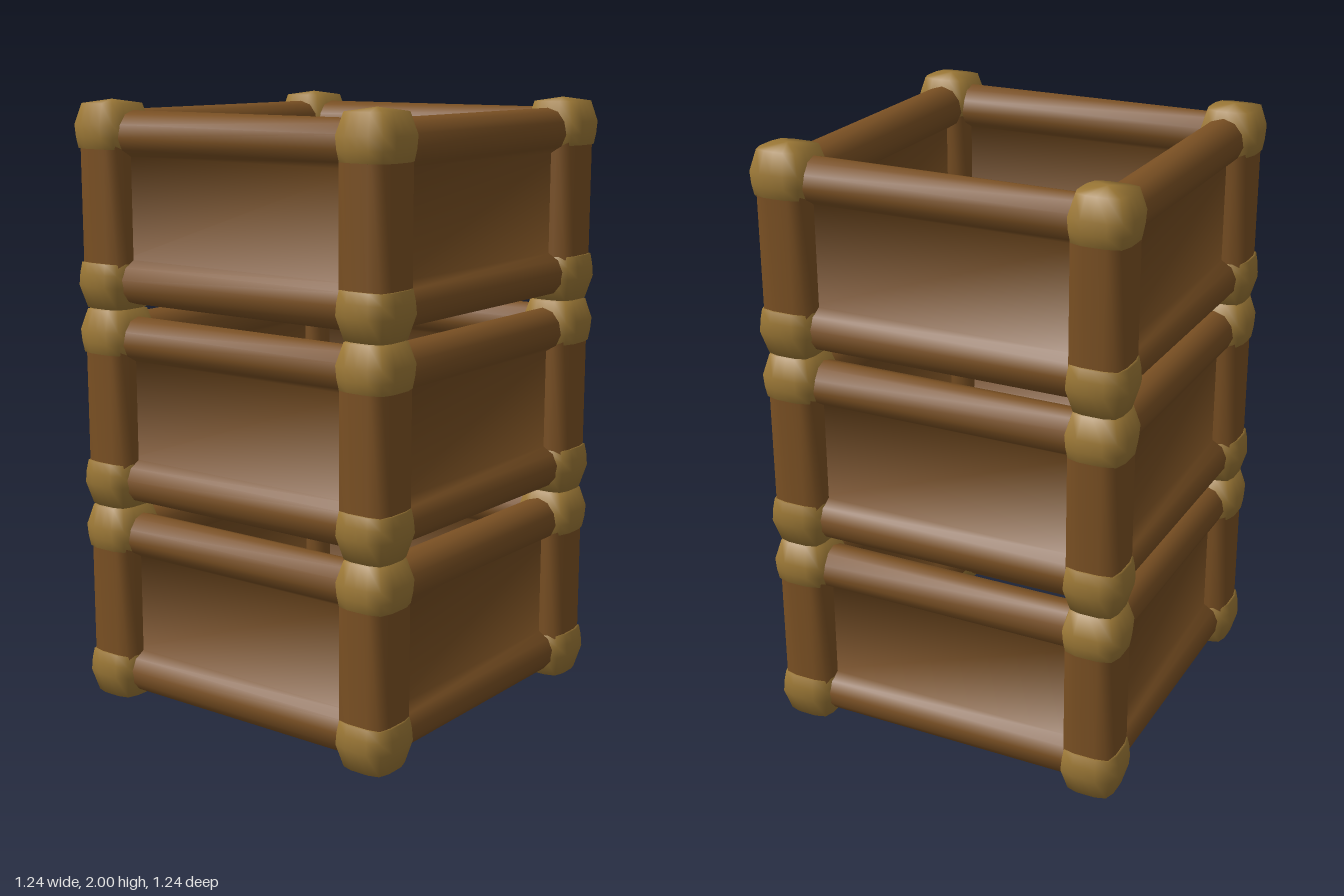
import * as THREE from 'three';
import { mergeVertices, toCreasedNormals } from 'three/addons/utils/BufferGeometryUtils.js';

const wood = new THREE.MeshStandardMaterial({ color: 0x7a5023 });
wood.name = 'brown wood';
const tan = new THREE.MeshStandardMaterial({ color: 0x9c7836 });
tan.name = 'tan corner';

// Turned profile [radius, y] whose round section is pushed out to a rounded square
function squareLathe(profile, power) {
  let geo = new THREE.LatheGeometry(profile.map(p => new THREE.Vector2(p[0], p[1])), 16);
  const pos = geo.attributes.position;
  for (let i = 0; i < pos.count; i++) {
    const x = pos.getX(i), z = pos.getZ(i), r = Math.hypot(x, z);
    if (r < 1e-6) continue;
    const k = Math.pow(Math.pow(Math.abs(x / r), power) + Math.pow(Math.abs(z / r), power), -1 / power);
    pos.setX(i, x * k);
    pos.setZ(i, z * k);
  }
  geo.deleteAttribute('uv');
  geo.deleteAttribute('normal');
  geo = mergeVertices(geo, 1e-4);
  geo.computeVertexNormals();
  return geo;
}

// Side wall section: round top and bottom rails joined by a thin panel
function wallGeometry() {
  const points = [];
  const arc = (y, start) => {
    for (let i = 0; i <= 10; i++) {
      const a = THREE.MathUtils.degToRad(start + i * 33);
      points.push(new THREE.Vector2(0.515 + 0.074 * Math.cos(a), y + 0.074 * Math.sin(a)));
    }
  };
  arc(0.572, -75);
  arc(0.1, 105);
  const geo = new THREE.ExtrudeGeometry(new THREE.Shape(points), { depth: 0.94, bevelEnabled: false });
  geo.translate(0, 0, -0.47);
  return toCreasedNormals(geo, 1.5);
}

export function createModel() {
  const model = new THREE.Group();
  model.name = 'crateStack';

  const wall = wallGeometry();
  const post = squareLathe([[0.086, 0.1], [0.086, 0.58]], 6);
  const lowerCap = squareLathe([[0, 0], [0.078, 0.012], [0.099, 0.085],
    [0.096, 0.125], [0.09, 0.16], [0.08, 0.161]], 4.5);
  const upperCap = squareLathe([[0.08, 0.524], [0.09, 0.525], [0.096, 0.56],
    [0.099, 0.6], [0.079, 0.667], [0, 0.68]], 4.5);
  const floor = new THREE.BoxGeometry(0.83, 0.014, 0.83);

  const add = (parent, geo, mat, name, x = 0, y = 0, z = 0) => {
    const mesh = new THREE.Mesh(geo, mat);
    mesh.name = name;
    mesh.position.set(x, y, z);
    parent.add(mesh);
    return mesh;
  };

  // Three equal crates, the cap domes nesting slightly; the middle floor hangs lower
  [0.036, 0.018, 0.036].forEach((floorY, level) => {
    const crate = new THREE.Group();
    crate.name = 'crate' + (level + 1);
    crate.position.y = level * 0.66;
    model.add(crate);

    add(crate, floor, wood, 'floor', 0, floorY, 0);
    for (let side = 0; side < 4; side++) {
      add(crate, wall, wood, 'wall').rotation.y = side * Math.PI / 2;
    }
    for (const sx of [-1, 1]) for (const sz of [-1, 1]) {
      add(crate, post, wood, 'cornerPost', sx * 0.518, 0, sz * 0.518);
      add(crate, lowerCap, tan, 'lowerCap', sx * 0.522, 0, sz * 0.522);
      add(crate, upperCap, tan, 'upperCap', sx * 0.522, 0, sz * 0.522);
    }
  });
  return model;
}
